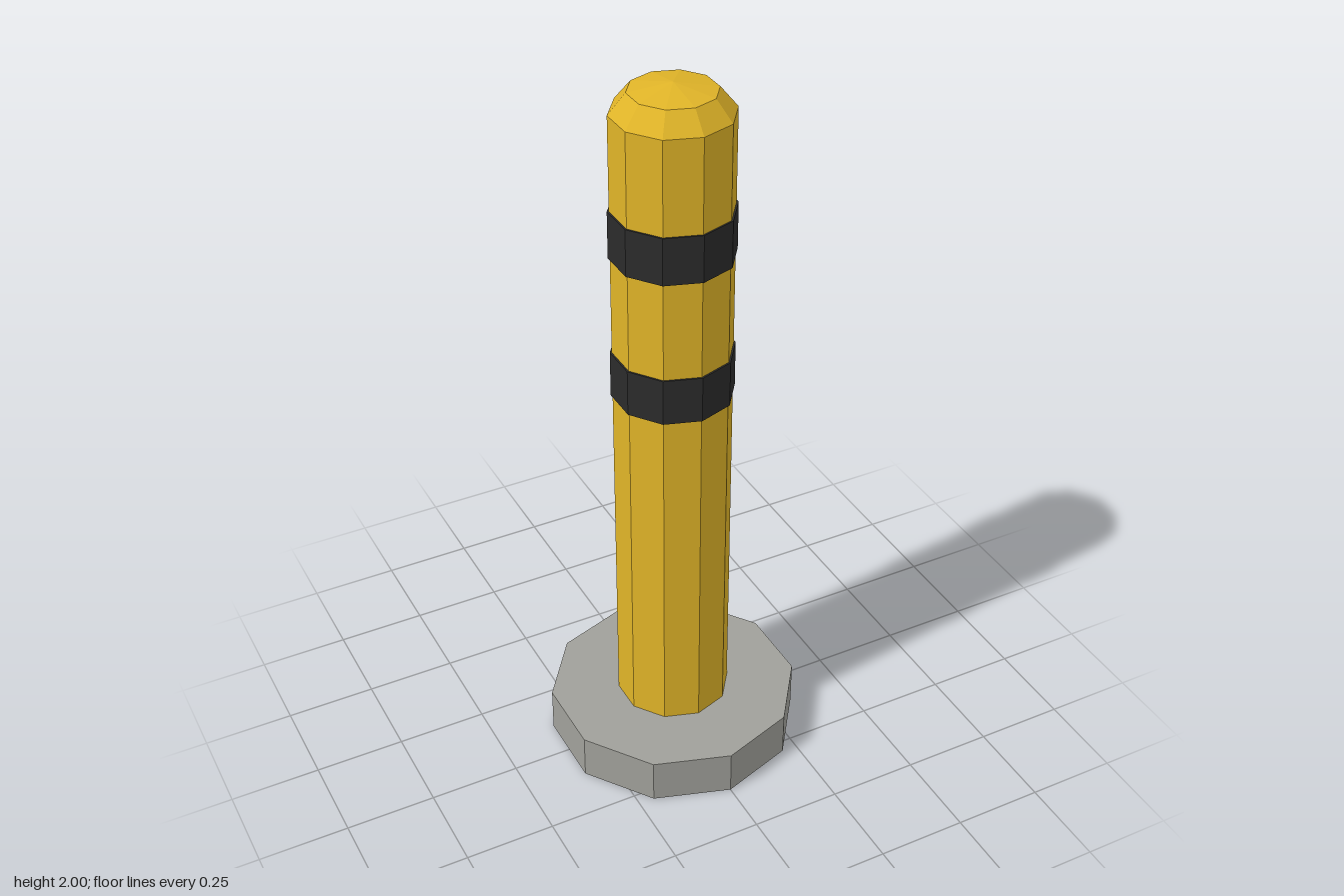
import * as THREE from 'three';

const SIDES = 10;

function flatMaterial(name, color) {
  const material = new THREE.MeshStandardMaterial({ color, flatShading: true });
  material.name = name;
  return material;
}

export function createModel() {
  const yellow = flatMaterial('yellow paint', 0xe0b428);
  const black = flatMaterial('black band', 0x2b2b2b);
  const grey = flatMaterial('grey concrete', 0xa0a09a);

  const model = new THREE.Group();
  model.name = 'bollard';

  const add = (name, geometry, material, y = 0) => {
    const mesh = new THREE.Mesh(geometry, material);
    mesh.name = name;
    mesh.position.y = y;
    model.add(mesh);
  };

  // Ten-sided footing
  add('base', new THREE.CylinderGeometry(0.351, 0.351, 0.13, SIDES), grey, 0.065);

  // Post with a bevelled, slightly peaked cap
  const profile = [[0.158, 0.13], [0.158, 1.925], [0.113, 1.98], [0, 2]]
    .map(([r, y]) => new THREE.Vector2(r, y));
  add('post', new THREE.LatheGeometry(profile, SIDES), yellow);

  // Two raised bands around the post
  [['lowerBand', 1.2], ['upperBand', 1.605]].forEach(([name, y]) => {
    add(name, new THREE.CylinderGeometry(0.163, 0.163, 0.13, SIDES), black, y);
  });

  return model;
}
